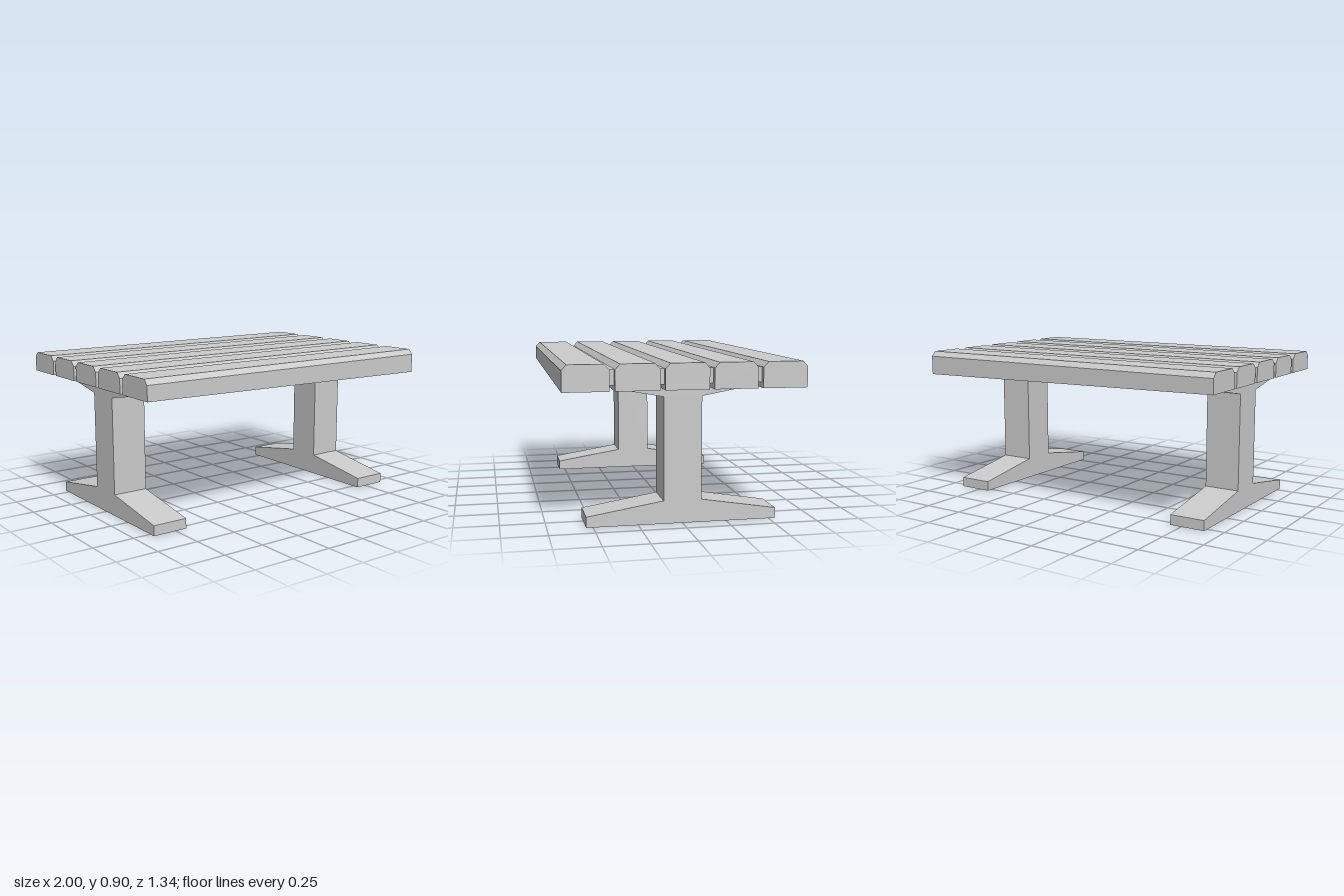
import * as THREE from 'three';

const material = new THREE.MeshStandardMaterial({ color: 0xcccccc, flatShading: true });

// Extrude a (z, y) outline along x, centred on x = 0
function extrudeAlongX(points, length) {
  const shape = new THREE.Shape(points.map(([z, y]) => new THREE.Vector2(-z, y)));
  const geometry = new THREE.ExtrudeGeometry(shape, { depth: length, bevelEnabled: false });
  geometry.translate(0, 0, -length / 2);
  geometry.rotateY(Math.PI / 2);
  return geometry;
}

function addMesh(group, name, geometry) {
  const mesh = new THREE.Mesh(geometry, material);
  mesh.name = name;
  group.add(mesh);
  return mesh;
}

// Plank with chamfered top edges; its underside tapers along x
function plankGeometry(width) {
  const w = width / 2, chamfer = 0.028, bottom = 0.755, top = 0.9;
  const geometry = extrudeAlongX([
    [-w, bottom], [w, bottom], [w, 0.87], [w - chamfer, top], [-w + chamfer, top], [-w, 0.87],
  ], 2);
  const p = geometry.attributes.position;
  for (let i = 0; i < p.count; i++) {
    if (p.getY(i) < 0.8 && p.getX(i) < 0) p.setY(i, 0.783);
  }
  geometry.computeVertexNormals();
  return geometry;
}

export function createModel() {
  const model = new THREE.Group();
  model.name = 'table';

  // Table top: five planks over a hidden core that shows in the gaps
  const top = new THREE.Group();
  top.name = 'tableTop';
  [[-0.546, 0.252], [-0.27, 0.243], [0, 0.243], [0.27, 0.243], [0.546, 0.252]].forEach(([z, width]) => {
    addMesh(top, 'plank', plankGeometry(width)).position.z = z;
  });
  const core = new THREE.BoxGeometry(1.94, 0.085, 0.9);
  core.translate(0, 0.8275, 0);
  addMesh(top, 'core', core);
  model.add(top);

  // Pedestal legs: sloped foot, column and flared bracket in one outline
  const half = [[0.538, 0], [0.538, 0.06], [0.107, 0.13], [0.107, 0.708], [0.338, 0.75], [0.338, 0.785]];
  const outline = [...half, ...half.map(([z, y]) => [-z, y]).reverse()];
  for (const side of [-1, 1]) {
    addMesh(model, side > 0 ? 'leftLeg' : 'rightLeg', extrudeAlongX(outline, 0.214)).position.x = side * 0.786;
  }
  return model;
}
